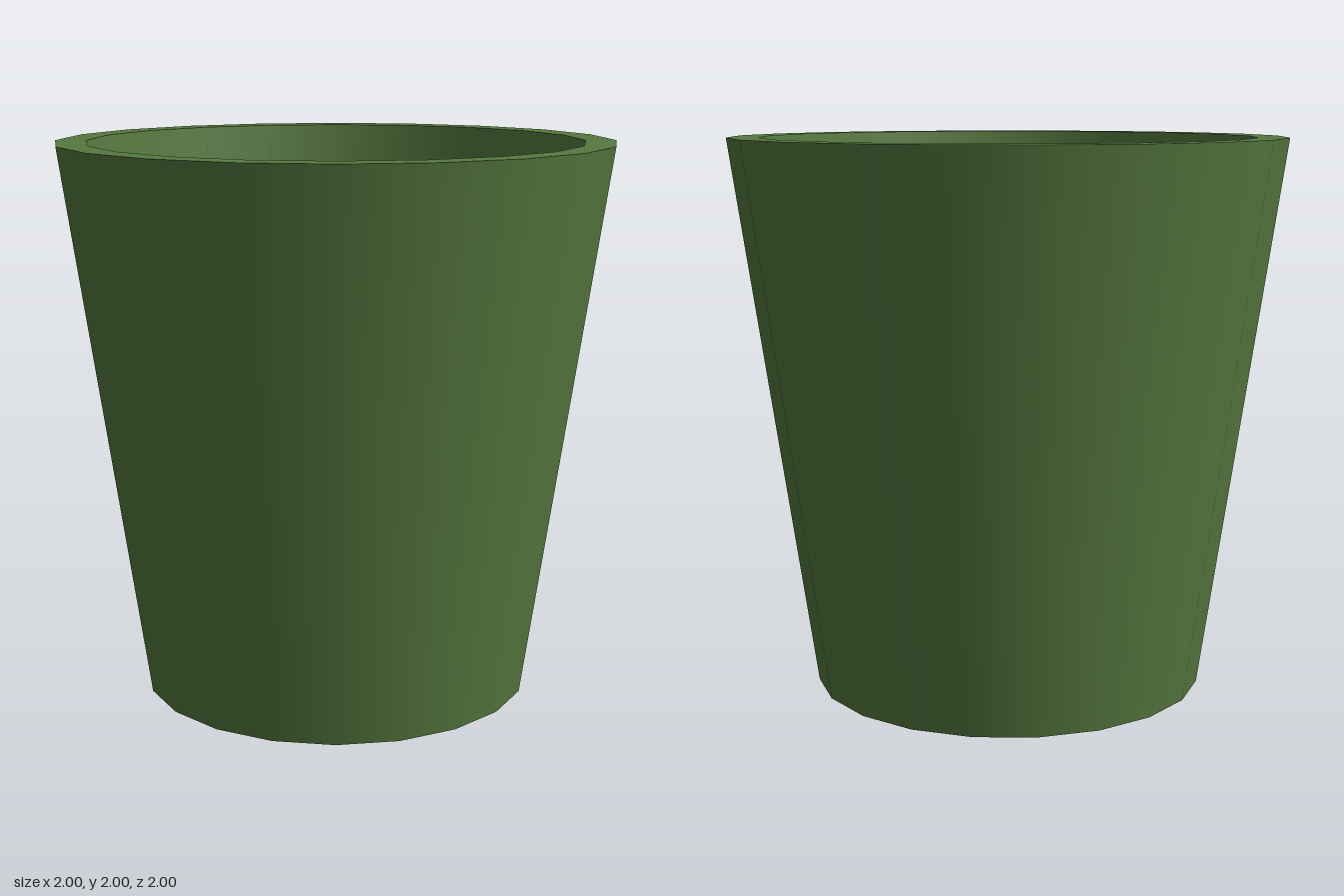
import * as THREE from 'three';

const SIDES = 20;

export function createModel() {
  const group = new THREE.Group();
  group.name = 'taperedPot';
  const material = new THREE.MeshStandardMaterial({ color: 0x56793f });

  // Closed profile from the centre of the base, up the outside and down the inside
  const profile = [
    [0, 0], [0.71, 0], [1, 2], [0.89, 2], [0.656, 0.2], [0, 0.2],
  ].map(([r, y]) => new THREE.Vector2(r, y));
  const names = ['base', 'outerWall', 'rim', 'innerWall', 'innerFloor'];

  // One lathe per band keeps each wall smooth and the edges between bands sharp
  names.forEach((name, i) => {
    const band = new THREE.LatheGeometry([profile[i], profile[i + 1]], SIDES);
    const mesh = new THREE.Mesh(band, material);
    mesh.name = name;
    group.add(mesh);
  });
  return group;
}
